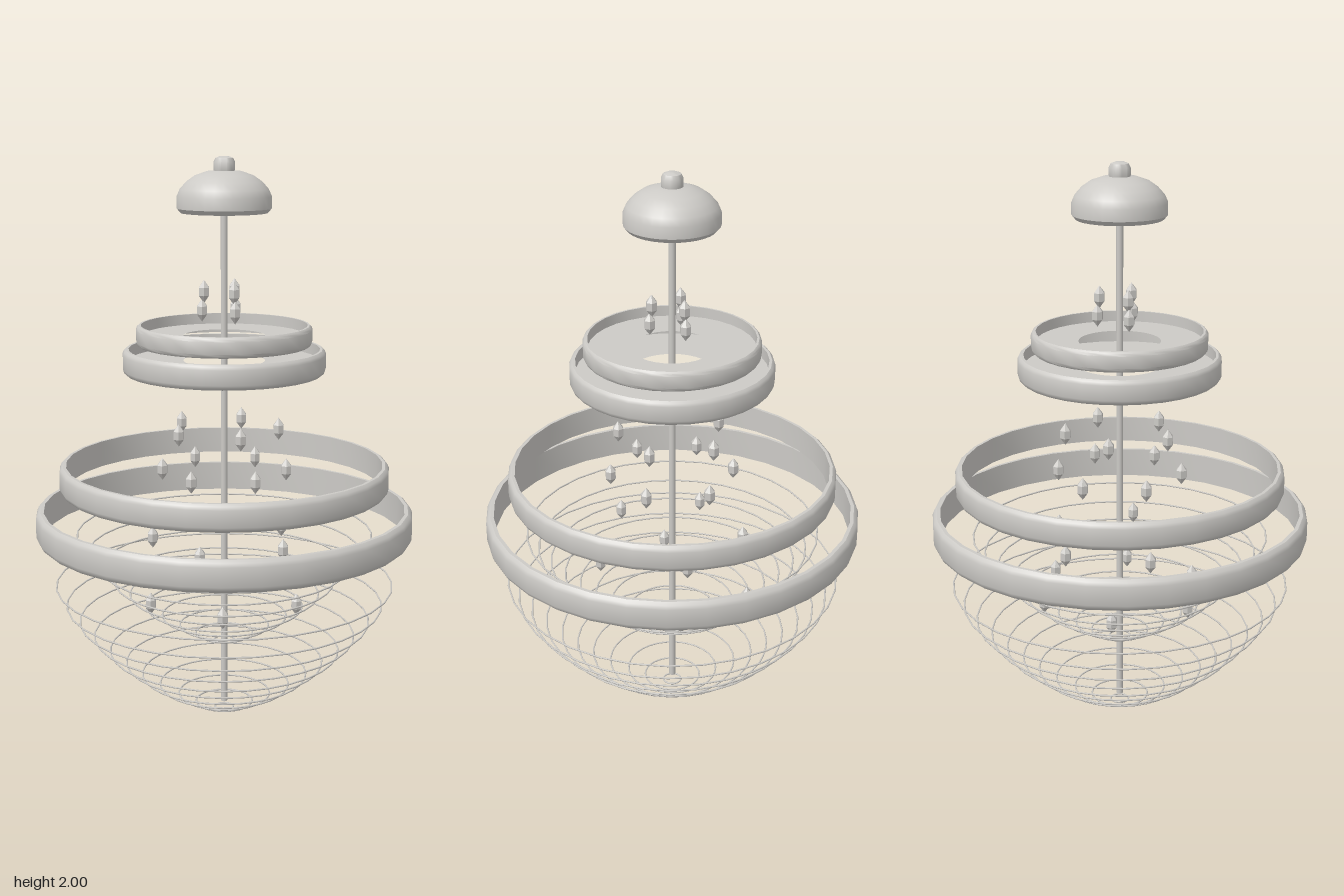
import * as THREE from 'three';
import { toCreasedNormals } from 'three/addons/utils/BufferGeometryUtils.js';

const SEGMENTS = 32;

export function createModel() {
  const root = new THREE.Group();
  root.name = 'chandelier';
  const metal = new THREE.MeshStandardMaterial({ color: 0xcccac6, side: THREE.DoubleSide });
  metal.name = 'pale grey';

  const add = (name, geometry, parent = root) => {
    const mesh = new THREE.Mesh(geometry, metal);
    mesh.name = name;
    parent.add(mesh);
    return mesh;
  };
  const addGroup = (name) => {
    const group = new THREE.Group();
    group.name = name;
    root.add(group);
    return group;
  };
  const lathe = (points, segments = SEGMENTS, crease = 0.7) => toCreasedNormals(
    new THREE.LatheGeometry(points.map(([r, y]) => new THREE.Vector2(r, y)), segments), crease);

  // Ceiling canopy with a hollow underside, and the knob above it
  add('canopy', lathe([
    [0, 1.85], [0.115, 1.85], [0.12, 1.81], [0.15, 1.81], [0.163, 1.825], [0.163, 1.865],
    [0.152, 1.89], [0.13, 1.915], [0.1, 1.936], [0.06, 1.95], [0, 1.954],
  ]));
  add('knob', lathe([
    [0.034, 1.94], [0.037, 1.955], [0.037, 1.98], [0.03, 1.994], [0.015, 2], [0, 2],
  ], 24));

  // Central rod
  const rod = add('rod', new THREE.CylinderGeometry(0.012, 0.012, 1.87, 16));
  rod.position.y = 0.965;

  // Four rounded hoops: outer radius, bottom, top, wall thickness
  const hoops = [
    [0.307, 1.355, 1.425, 0.017],
    [0.355, 1.257, 1.342, 0.021],
    [0.584, 0.84, 0.935, 0.024],
    [0.67, 0.667, 0.776, 0.028],
  ];
  const hoopGroup = addGroup('hoops');
  hoops.forEach(([r, low, high, wall]) => {
    const b = wall * 0.55, c = (high - low) * 0.2, i = r - wall;
    add('hoop', lathe([
      [i, low], [r - b, low], [r - b * 0.35, low + c * 0.4], [r, low + c],
      [r, high - c], [r - b * 0.35, high - c * 0.4], [r - b, high], [i, high], [i, low],
    ]), hoopGroup);
  });

  // Flat plates with a round hole inside the two upper hoops
  [[0.295, 1.387], [0.34, 1.3]].forEach(([r, y]) => {
    const plate = add('plate', new THREE.RingGeometry(0.143, r, SEGMENTS));
    plate.rotation.x = -Math.PI / 2;
    plate.position.y = y;
  });

  // Two bowls of thin wire rings: radius, height
  const bowls = {
    innerBowl: [
      [0.53, 0.675], [0.49, 0.61], [0.447, 0.553], [0.397, 0.495], [0.344, 0.447],
      [0.286, 0.4], [0.228, 0.362], [0.164, 0.325], [0.106, 0.293], [0.04, 0.267],
    ],
    outerBowl: [
      [0.607, 0.49], [0.571, 0.415], [0.526, 0.352], [0.474, 0.293], [0.418, 0.235], [0.36, 0.187],
      [0.302, 0.14], [0.238, 0.098], [0.169, 0.061], [0.106, 0.029], [0.036, 0.005],
    ],
  };
  for (const [name, rings] of Object.entries(bowls)) {
    const bowl = addGroup(name);
    rings.forEach(([r, y]) => {
      const wire = add('wireRing', new THREE.TorusGeometry(r - 0.003, 0.003, 6, SEGMENTS), bowl);
      wire.rotation.x = Math.PI / 2;
      wire.position.y = y;
    });
  }

  // Faceted crystals in circles: count, radius, height, starting angle
  const crystal = lathe([[0, -0.04], [0.02, -0.014], [0.02, 0.014], [0, 0.04]], 6, 0.1);
  const circles = [
    [3, 0.07, 1.54, Math.PI],
    [3, 0.077, 1.475, Math.PI],
    [5, 0.192, 1.055, 0],
    [6, 0.22, 0.907, 0],
    [5, 0.257, 0.655, Math.PI],
    [6, 0.296, 0.455, Math.PI / 6],
  ];
  const crystals = addGroup('crystals');
  circles.forEach(([count, r, y, start]) => {
    for (let k = 0; k < count; k++) {
      const a = start + (k / count) * Math.PI * 2;
      add('crystal', crystal, crystals).position.set(r * Math.cos(a), y, r * Math.sin(a));
    }
  });

  return root;
}
